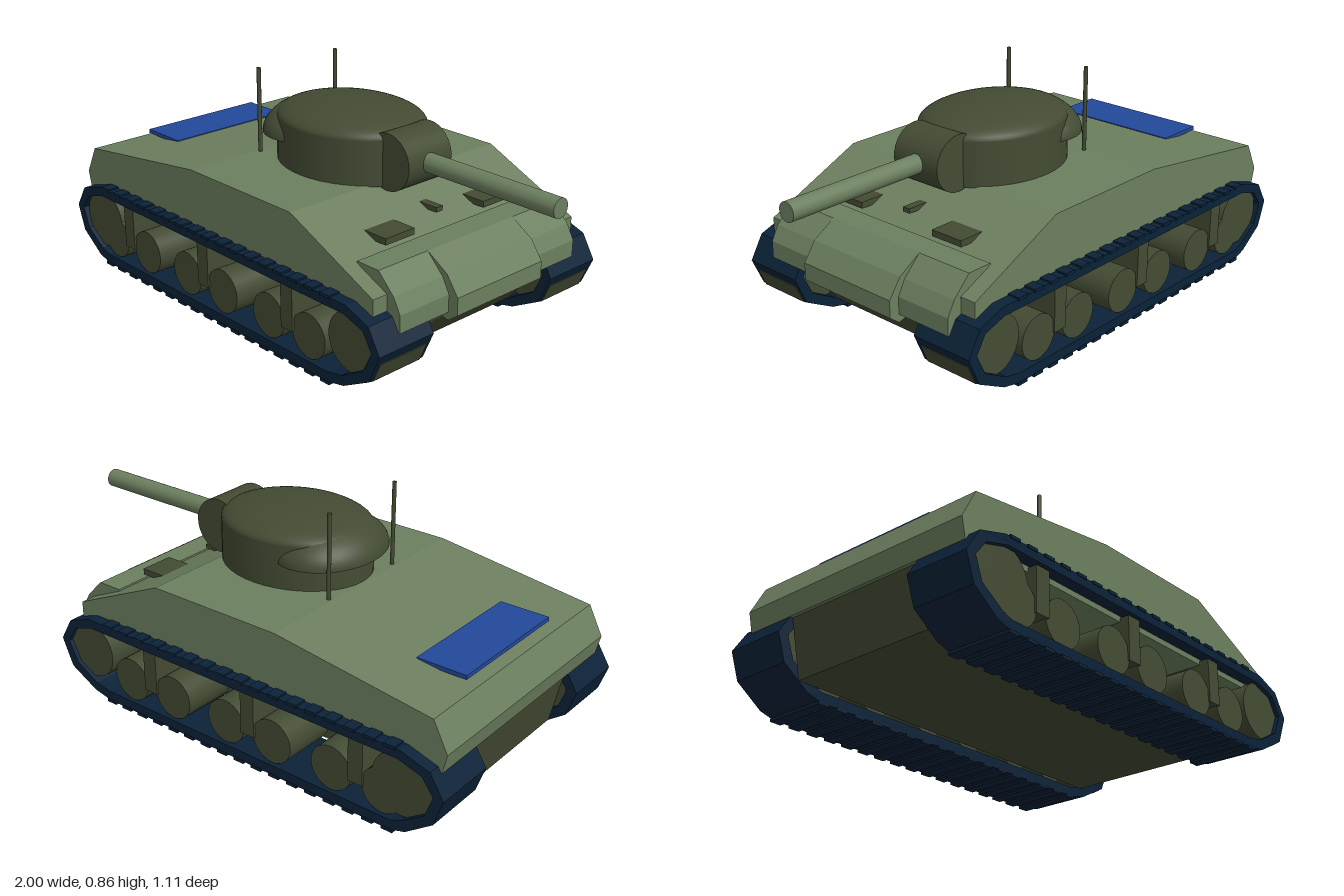
import * as THREE from 'three';

const material = (name, color) => {
  const m = new THREE.MeshStandardMaterial({ color });
  m.name = name;
  return m;
};

export function createModel() {
  const hullGreen = material('hull green', 0x6c7f5f);
  const darkOlive = material('dark olive', 0x434b33);
  const trackNavy = material('track navy', 0x0b2238);
  const panelBlue = material('panel blue', 0x22489a);

  const model = new THREE.Group();
  model.name = 'tank';

  const add = (name, geometry, mat, x = 0, y = 0, z = 0, parent = model) => {
    const mesh = new THREE.Mesh(geometry, mat);
    mesh.name = name;
    mesh.position.set(x, y, z);
    parent.add(mesh);
    return mesh;
  };
  const box = (name, mat, w, h, d, x, y, z, parent) =>
    add(name, new THREE.BoxGeometry(w, h, d), mat, x, y, z, parent);
  const vectors = (pts) => pts.map(([x, y]) => new THREE.Vector2(x, y));

  // Side profile in x and y, extruded symmetrically across z
  const slab = (pts, width, hole) => {
    const shape = new THREE.Shape(vectors(pts));
    if (hole) shape.holes.push(new THREE.Path(vectors(hole)));
    const g = new THREE.ExtrudeGeometry(shape, { depth: width, bevelEnabled: false });
    return g.translate(0, 0, -width / 2);
  };
  // Cylinder lying across the hull
  const drum = (r, width, sides = 28) =>
    new THREE.CylinderGeometry(r, r, width, sides).rotateX(Math.PI / 2);

  // Hull
  add('upperHull', slab([
    [-0.96, 0.267], [0.62, 0.267], [0.67, 0.295], [0.67, 0.355],
    [0.27, 0.535], [-0.28, 0.535], [-0.92, 0.45], [-0.977, 0.34],
  ], 1.01), hullGreen);
  add('lowerHull', slab([
    [-0.9, 0.055], [0.56, 0.055], [0.66, 0.175], [0.7, 0.28], [-0.95, 0.28],
  ], 0.606), darkOlive);

  // Rounded nose in front of the hull, with a raised centre
  add('nose', slab([
    [0.53, 0.235], [0.73, 0.235], [0.73, 0.3], [0.7, 0.355], [0.63, 0.425], [0.53, 0.425],
  ], 0.885), hullGreen);
  add('noseCentre', slab([
    [0.6, 0.235], [0.73, 0.205], [0.77, 0.235], [0.77, 0.3], [0.72, 0.37], [0.63, 0.425], [0.6, 0.425],
  ], 0.43), hullGreen);

  // Deck fittings
  box('rearPanel', panelBlue, 0.195, 0.016, 0.53, -0.787, 0.476, 0);
  box('bowBlock', darkOlive, 0.1, 0.018, 0.032, 0.43, 0.469, 0);
  for (const s of [1, -1]) {
    box('driverHatch', darkOlive, 0.115, 0.024, 0.137, 0.472, 0.452, s * 0.243);
    add('antenna', new THREE.CylinderGeometry(0.008, 0.008, 0.34, 10), darkOlive, -0.265, 0.69, s * 0.19);
  }

  // Running gear, one group on each side
  const outer = [
    [-1, 0.2], [-0.965, 0.1], [-0.86, 0.025], [-0.8, 0.008], [0.5, 0.008], [0.58, 0.025],
    [0.7, 0.088], [0.748, 0.195], [0.695, 0.285], [0.59, 0.323], [-0.83, 0.323], [-0.945, 0.288],
  ];
  const inner = [
    [-0.96, 0.2], [-0.93, 0.12], [-0.84, 0.06], [-0.8, 0.046], [0.5, 0.046], [0.57, 0.06],
    [0.67, 0.115], [0.71, 0.195], [0.67, 0.26], [0.58, 0.288], [-0.82, 0.288], [-0.915, 0.26],
  ];
  for (const s of [1, -1]) {
    const gear = new THREE.Group();
    gear.name = s > 0 ? 'leftRunningGear' : 'rightRunningGear';
    gear.position.z = s * 0.426;
    model.add(gear);

    add('track', slab(outer, 0.248, inner), trackNavy, 0, 0, 0, gear);
    for (let i = 0; i < 17; i++) {
      const x = -0.79 + i * 0.08;
      box('treadTop', trackNavy, 0.045, 0.012, 0.254, x, 0.323, 0, gear);
      box('treadBottom', trackNavy, 0.045, 0.012, 0.254, x, 0.006, 0, gear);
    }

    add('rearWheel', drum(0.118), darkOlive, -0.83, 0.185, 0, gear).scale.z = 0.215;
    add('frontWheel', drum(0.11), darkOlive, 0.6, 0.185, 0, gear).scale.z = 0.215;
    for (const x of [-0.65, -0.183, 0.285]) {
      for (const dx of [-0.105, 0.105]) {
        add('roadWheel', drum(0.084), darkOlive, x + dx, 0.13, 0, gear).scale.z = 0.215;
      }
      box('suspensionArm', darkOlive, 0.06, 0.165, 0.23, x, 0.2, 0, gear);
    }

    // Wheel face showing through the front of the track
    for (const [a, b] of [[[0.662, 0.068], [0.7, 0.088]], [[0.7, 0.088], [0.732, 0.159]]]) {
      const dx = b[0] - a[0], dy = b[1] - a[1];
      box('frontWheelFace', darkOlive, Math.hypot(dx, dy), 0.006, 0.215,
        (a[0] + b[0]) / 2, (a[1] + b[1]) / 2, 0, gear).rotation.z = Math.atan2(dy, dx);
    }
  }

  // Turret: oval wall, low dome and rear overhang
  const turret = new THREE.Group();
  turret.name = 'turret';
  model.add(turret);
  const halfDome = () => new THREE.SphereGeometry(1, 40, 14, 0, Math.PI * 2, 0, Math.PI / 2);
  add('turretWall', new THREE.CylinderGeometry(1, 1, 0.17, 40), darkOlive, 0.03, 0.615, 0, turret)
    .scale.set(0.302, 1, 0.25);
  add('turretDome', halfDome(), darkOlive, 0.03, 0.7, 0, turret).scale.set(0.302, 0.07, 0.25);
  add('turretOverhang', halfDome(), darkOlive, -0.125, 0.63, 0, turret).scale.set(0.195, 0.125, 0.245);
  add('overhangFloor', new THREE.CircleGeometry(1, 40).rotateX(Math.PI / 2), darkOlive, -0.125, 0.63, 0, turret)
    .scale.set(0.195, 1, 0.245);

  // Gun and its rounded mount
  add('gunMount', drum(0.106, 0.212, 32), darkOlive, 0.326, 0.627, 0, turret);
  add('gunBarrel', new THREE.CylinderGeometry(0.036, 0.036, 0.62, 20).rotateZ(Math.PI / 2),
    hullGreen, 0.69, 0.627, 0, turret);

  return model;
}
